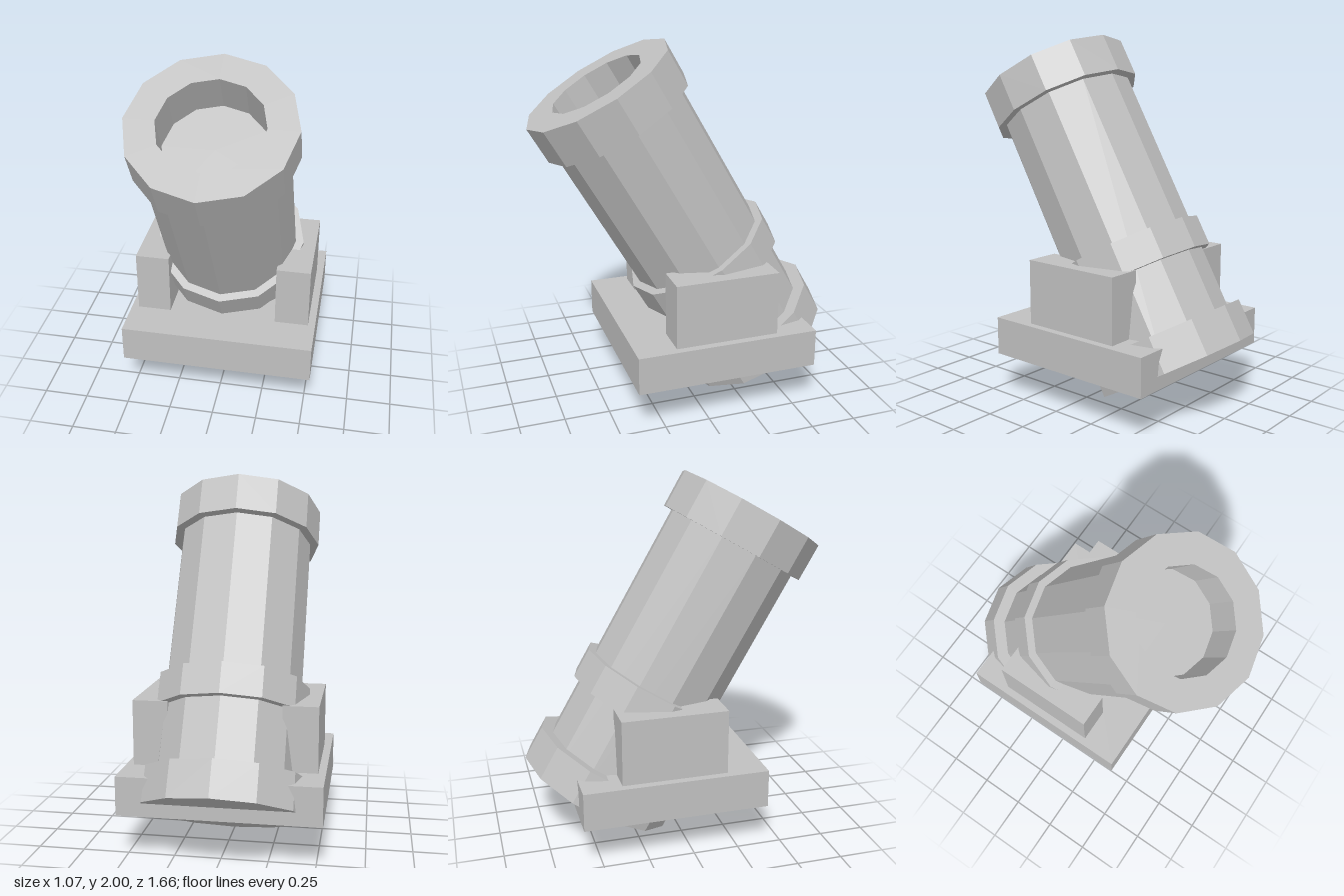
import * as THREE from 'three';

const SIDES = 12;

export function createModel() {
  const model = new THREE.Group();
  model.name = 'mortar';

  const iron = new THREE.MeshStandardMaterial({ color: 0xc0c0c0, flatShading: true });
  iron.name = 'grey iron';

  function add(parent, name, geometry, x, y, z) {
    const mesh = new THREE.Mesh(geometry, iron);
    mesh.name = name;
    mesh.position.set(x, y, z);
    parent.add(mesh);
    return mesh;
  }

  // Solid twelve-sided section between two heights along the gun's axis
  function section(parent, name, radius, from, to) {
    const geometry = new THREE.CylinderGeometry(radius, radius, to - from, SIDES);
    return add(parent, name, geometry, 0, (from + to) / 2, 0);
  }

  // Gun: built upright from the breech, then leaned forward 30 degrees
  const gun = new THREE.Group();
  gun.name = 'gun';
  gun.position.set(0, 0.225, -0.443);
  gun.rotation.x = Math.PI / 6;
  model.add(gun);

  const length = 1.8;
  const muzzleHeight = 0.213;
  section(gun, 'breechRing', 0.45, 0, 0.197);
  section(gun, 'barrel', 0.38, 0.05, length - muzzleHeight);
  section(gun, 'middleRing', 0.425, 0.537, 0.707);

  // Hollow muzzle ring; the end of the barrel is the floor of the bore
  const outer = 0.428, bore = 0.27;
  const profile = [
    [bore, 0], [outer, 0], [outer, muzzleHeight], [bore, muzzleHeight], [bore, 0],
  ].map(([r, h]) => new THREE.Vector2(r, h));
  add(gun, 'muzzleRing', new THREE.LatheGeometry(profile, SIDES), 0, length - muzzleHeight, 0);

  // Carriage: base plate with a cheek block on each side
  add(model, 'basePlate', new THREE.BoxGeometry(1.072, 0.21, 1.01), 0, 0.35, -0.1);
  for (const [name, side] of [['leftCheek', 1], ['rightCheek', -1]]) {
    add(model, name, new THREE.BoxGeometry(0.19, 0.355, 0.575), side * 0.4, 0.6325, -0.103);
  }

  return model;
}
